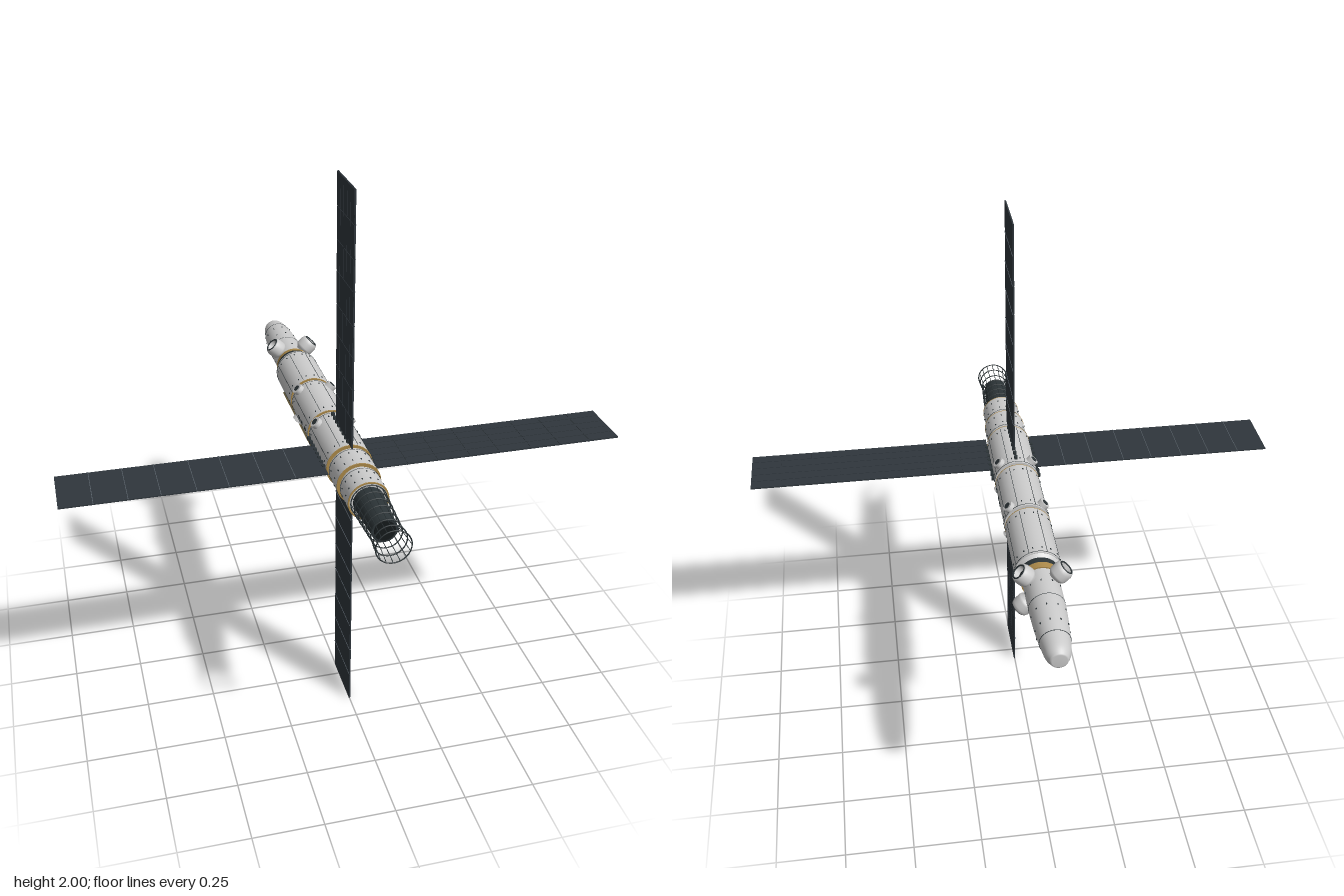
import * as THREE from 'three';
import { mergeGeometries } from 'three/addons/utils/BufferGeometryUtils.js';

const mat = (color) => new THREE.MeshStandardMaterial({ color, side: THREE.DoubleSide });
const GREY = mat(0xcccccc), WHITE = mat(0xf0f0f0), DARK = mat(0x2c3437), PANEL = mat(0x2f363c);
const LINE = mat(0x59626a), GOLD = mat(0xa98748), BLACK = mat(0x15191b);
const Q = Math.PI / 2;

// Cylinder along z from z0 (radius r0) to z1 (radius r1)
function tube(z0, z1, r0, r1 = r0, open = false, sides = 32) {
  return new THREE.CylinderGeometry(r1, r0, z1 - z0, sides, 1, open)
    .rotateX(Q).translate(0, 0, (z0 + z1) / 2);
}
// Bar between two points
function rod(a, b, r, sides = 5) {
  const A = new THREE.Vector3(...a), B = new THREE.Vector3(...b), d = B.clone().sub(A);
  const q = new THREE.Quaternion().setFromUnitVectors(new THREE.Vector3(0, 1, 0), d.clone().normalize());
  return new THREE.CylinderGeometry(r, r, d.length(), sides).applyQuaternion(q)
    .translate(...A.add(B).multiplyScalar(0.5).toArray());
}
// Box sitting at radius r and angle a around the z axis
function radialBox(r, a, z, h, w, d) {
  return new THREE.BoxGeometry(h, w, d).translate(r, 0, z).rotateZ(a);
}
const ring = (r, z, t, sides = 32) => new THREE.TorusGeometry(r, t, 6, sides).translate(0, 0, z);
const polar = (r, a, z) => [r * Math.cos(a), r * Math.sin(a), z];

export function createModel() {
  const model = new THREE.Group();
  const craft = new THREE.Group();
  craft.name = 'spacecraft';
  craft.position.y = 1;
  model.add(craft);
  const add = (name, geo, material, parent = craft) => {
    const m = new THREE.Mesh(Array.isArray(geo) ? mergeGeometries(geo) : geo, material);
    m.name = name;
    parent.add(m);
    return m;
  };

  // Nose capsule
  const nose = new THREE.SplineCurve([
    [0.03, 0.888], [0.043, 0.86], [0.051, 0.81], [0.058, 0.74], [0.062, 0.66], [0.063, 0.58], [0.063, 0.48],
  ].map((p) => new THREE.Vector2(...p))).getPoints(24);
  const profile = [new THREE.Vector2(0, 0.89), new THREE.Vector2(0.025, 0.89), ...nose].reverse();
  add('noseCapsule', new THREE.LatheGeometry(profile, 32).rotateX(-Q), GREY);
  add('noseSeams', [ring(0.0625, -0.63, 0.0012), ring(0.0525, -0.8, 0.0012)], DARK);
  add('noseCollar', [tube(-0.5, -0.476, 0.068, 0.071)], GOLD);
  add('noseAdapter', [tube(-0.476, -0.452, 0.071, 0.071)], DARK);
  add('adapterLip', tube(-0.452, -0.44, 0.071, 0.08), GREY);

  // Hull modules: [z start, z end, radius]
  const modules = [
    [-0.44, -0.18, 0.083], [-0.165, 0.094, 0.083], [0.108, 0.366, 0.083],
    [0.378, 0.488, 0.078], [0.5, 0.605, 0.071],
  ];
  add('innerCore', tube(-0.45, 0.6, 0.066), WHITE);
  const hull = [], endRings = [], studs = [], seams = [];
  modules.forEach(([z0, z1, r], i) => {
    hull.push(tube(z0, z1, r));
    endRings.push(new THREE.RingGeometry(0.066, r, 32).translate(0, 0, z1 + 0.0008));
    endRings.push(ring(r - 0.001, z1 - 0.001, 0.002));
    seams.push(ring(r, z0 + 0.008, 0.0012));
    for (let k = 0; k < 16; k++) {
      const a = (k + 0.5) * Math.PI / 8;
      studs.push(radialBox(r, a, z0 + 0.03, 0.004, 0.004, 0.006));
      studs.push(radialBox(r, a, z1 - 0.03, 0.004, 0.004, 0.006));
    }
    // Long seams on the wide modules
    if (i < 3) for (let k = 0; k < 8; k++) {
      seams.push(radialBox(r, (k + 0.5) * Math.PI / 4, (z0 + z1) / 2, 0.002, 0.0015, z1 - z0 - 0.02));
    }
  });
  for (let k = 0; k < 10; k++) {
    for (const z of [-0.56, -0.68, -0.75]) {
      const r = z < -0.7 ? 0.058 : z < -0.6 ? 0.061 : 0.063;
      studs.push(radialBox(r, (k + 0.25) * Math.PI / 5, z, 0.004, 0.004, 0.006));
    }
  }
  add('hullModules', hull, GREY);
  add('moduleEndRings', endRings, GOLD);
  add('hullSeams', seams, DARK);
  add('handholds', studs, DARK);

  // Narrow windows along the flanks
  const windows = [];
  for (const side of [0, Math.PI]) {
    for (const z of [-0.04, 0.0, 0.05, 0.14, 0.175, 0.21]) {
      windows.push(radialBox(0.083, side + 0.04, z, 0.004, 0.009, 0.022));
    }
  }
  add('windows', windows, DARK);

  // Small round ports on the diagonals
  const ports = [], portCaps = [];
  for (let k = 0; k < 4; k++) {
    const a = Math.PI / 4 + k * Q;
    for (const z of [-0.14, 0.142]) {
      ports.push(rod(polar(0.07, a, z), polar(0.098, a, z), 0.021, 20));
      portCaps.push(rod(polar(0.097, a, z), polar(0.1, a, z), 0.012, 16));
    }
  }
  add('sidePorts', ports, GREY);
  add('sidePortCaps', portCaps, DARK);

  // Three docking pods behind the nose
  const podProfile = [
    [0.022, 0.05], [0.024, 0.06], [0.034, 0.07], [0.036, 0.078], [0.036, 0.1], [0.032, 0.112],
    [0.027, 0.115], [0.023, 0.113], [0.022, 0.085],
  ].map((p) => new THREE.Vector2(...p));
  [1, 3, -1].forEach((k) => {
    const pod = new THREE.Group();
    pod.name = 'dockingPod';
    pod.position.z = -0.53;
    pod.rotation.z = k * Math.PI / 4 - Q;
    craft.add(pod);
    add('podShell', new THREE.LatheGeometry(podProfile, 24), GREY, pod);
    add('podHatch', new THREE.CylinderGeometry(0.0225, 0.0225, 0.004, 24).translate(0, 0.09, 0), BLACK, pod);
    add('podRim', new THREE.TorusGeometry(0.0255, 0.003, 6, 24).rotateX(Q).translate(0, 0.114, 0), DARK, pod);
  });

  // Four solar wings in a pinwheel: cells on one face, ribs on the other
  const rows = [0.09, 0.2, 0.31, 0.43, 0.54, 0.66, 0.77, 0.885, 1];
  const z0 = 0.19, z1 = 0.402, zc = (z0 + z1) / 2;
  const plate = new THREE.BoxGeometry(0.915, 0.004, z1 - z0).translate(0.5425, 0, zc);
  const cells = [], ribs = [], hinges = [];
  const strip = (z1 - z0) / 5;
  for (let i = 0; i < rows.length - 1; i++) {
    const w = rows[i + 1] - rows[i];
    for (let s = 0; s < 5; s++) {
      cells.push(new THREE.BoxGeometry(w - 0.003, 0.002, strip - 0.003)
        .translate(rows[i] + w / 2, 0.0025, z0 + strip * (s + 0.5)));
    }
    if (i) ribs.push(new THREE.BoxGeometry(0.002, 0.002, z1 - z0).translate(rows[i], -0.0025, zc));
  }
  for (let k = 0; k < 8; k++) {
    hinges.push(new THREE.BoxGeometry(0.014, 0.012, 0.012).translate(0.087, 0, 0.135 + k * 0.03));
  }
  for (let k = 0; k < 4; k++) {
    const wing = new THREE.Group();
    wing.name = 'solarWing';
    wing.rotation.z = k * Q;
    craft.add(wing);
    add('wingPlate', plate, PANEL, wing);
    add('wingCells', cells, PANEL, wing);
    add('wingRibs', ribs, LINE, wing);
    add('wingHinges', hinges, DARK, wing);
  }

  // Engine and its open cage
  add('engine', tube(0.6, 0.79, 0.054, 0.044), DARK);
  add('engineFace', tube(0.785, 0.793, 0.036, 0.036), BLACK);
  const cageR = (z) => (z < 0.81 ? 0.063 - (z - 0.605) * 0.05 : 0.0527 + (z - 0.81) * 0.09);
  const cage = [];
  const stations = [0.61, 0.65, 0.69, 0.73, 0.77, 0.81, 0.85, 0.888];
  stations.forEach((z, i) => {
    cage.push(ring(cageR(z), z, 0.0022));
    if (i) for (let k = 0; k < 16; k++) {
      const a = k * Math.PI / 8, p = stations[i - 1];
      cage.push(rod(polar(cageR(p), a, p), polar(cageR(z), a, z), 0.0013));
    }
  });
  add('engineCage', cage, DARK);

  // Boom slung under the right side, with cross bars and struts
  const bx = -0.045, by = -0.107, boom = [], struts = [];
  boom.push(rod([bx, by, -0.46], [bx, by, 0.085], 0.004, 8));
  for (let i = 0; i <= 26; i++) {
    const z = -0.455 + i * 0.0205;
    boom.push(new THREE.BoxGeometry(0.014, 0.014, 0.005).rotateZ(0.4).translate(bx, by, z));
  }
  for (const z of [-0.43, -0.25, -0.02]) struts.push(rod([bx, by, z], [bx * 0.7, -0.07, z], 0.003, 8));
  add('boom', boom, mat(0x6d6142));
  add('boomStruts', struts, DARK);

  return model;
}
